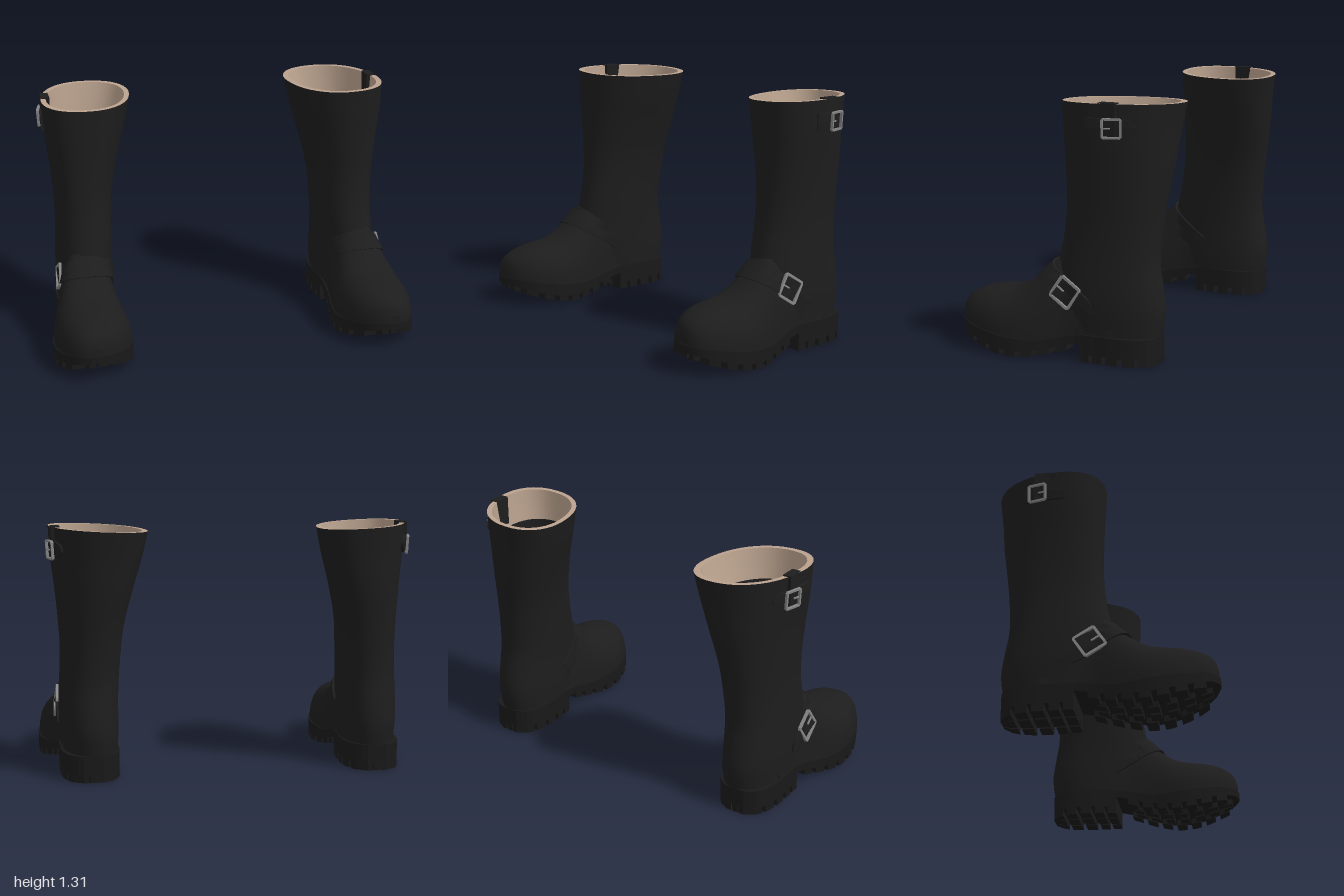
import * as THREE from 'three';
import { mergeGeometries } from 'three/addons/utils/BufferGeometryUtils.js';

const V = (x, y, z) => new THREE.Vector3(x, y, z);

// Smooth interpolation through rows of [key, ...values], keys ascending
function table(rows) {
  const slope = (i, k) => {
    const a = rows[Math.max(i - 1, 0)], b = rows[Math.min(i + 1, rows.length - 1)];
    return (b[k] - a[k]) / (b[0] - a[0]);
  };
  return (t) => {
    let i = 0;
    while (i < rows.length - 2 && t > rows[i + 1][0]) i++;
    const a = rows[i], b = rows[i + 1], h = b[0] - a[0];
    const u = THREE.MathUtils.clamp((t - a[0]) / h, 0, 1), u2 = u * u, u3 = u2 * u;
    return a.slice(1).map((_, n) => {
      const k = n + 1;
      return a[k] * (2 * u3 - 3 * u2 + 1) + b[k] * (3 * u2 - 2 * u3)
        + h * (slope(i, k) * (u3 - 2 * u2 + u) + slope(i + 1, k) * (u3 - u2));
    });
  };
}

// Skin closed rings of equal length; optional end caps and flat faces
function loft(rings, { caps = false, flat = false } = {}) {
  const n = rings[0].length, pts = rings.flat(), idx = [];
  for (let i = 0; i < rings.length - 1; i++) for (let j = 0; j < n; j++) {
    const a = i * n + j, b = i * n + (j + 1) % n;
    idx.push(a, b, a + n, b, b + n, a + n);
  }
  if (caps) [rings[0], rings[rings.length - 1]].forEach((ring, end) => {
    const s = pts.length, mid = ring.reduce((m, p) => m.add(p), V(0, 0, 0)).divideScalar(n);
    pts.push(...ring, mid);
    for (let j = 0; j < n; j++) {
      const k = (j + 1) % n;
      idx.push(s + n, s + (end ? j : k), s + (end ? k : j));
    }
  });
  let g = new THREE.BufferGeometry().setFromPoints(pts);
  g.setIndex(idx);
  if (flat) g = g.toNonIndexed();
  g.computeVertexNormals();
  return g;
}

// Shaft: y -> front z, back z, inner x, outer x
const shaft = table([
  [0.12, 0.03, -0.5, 0.612, 0.9], [0.2, 0.045, -0.515, 0.607, 0.905], [0.27, 0.055, -0.52, 0.605, 0.91],
  [0.38, 0.055, -0.505, 0.605, 0.91], [0.5, 0.035, -0.487, 0.6, 0.905], [0.65, 0.005, -0.493, 0.59, 0.9],
  [0.8, -0.01, -0.51, 0.575, 0.905], [1, -0.01, -0.54, 0.53, 0.92], [1.15, -0.005, -0.555, 0.49, 0.935],
  [1.3, 0, -0.575, 0.46, 0.942]]);
// Footprint: z -> centre x, half width
const print = table([
  [-0.505, 0.755, 0.05], [-0.485, 0.755, 0.09], [-0.45, 0.755, 0.122], [-0.35, 0.756, 0.15], [-0.2, 0.76, 0.15],
  [-0.1, 0.765, 0.147], [0, 0.775, 0.158], [0.1, 0.785, 0.183], [0.2, 0.788, 0.206], [0.3, 0.788, 0.212],
  [0.38, 0.79, 0.198], [0.45, 0.793, 0.17], [0.5, 0.8, 0.138], [0.54, 0.808, 0.095], [0.56, 0.815, 0.05],
  [0.57, 0.818, 0.02]]);
// Heights: z -> top of sole, tread underside
const sole = table([
  [-0.14, 0.14, 0.07], [-0.05, 0.125, 0.05], [0, 0.112, 0.035], [0.1, 0.096, 0.014], [0.2, 0.1, 0.004],
  [0.3, 0.11, 0.012], [0.4, 0.125, 0.035], [0.5, 0.143, 0.065], [0.57, 0.155, 0.088]]);
// Height of the foot along z
const ridge = table([
  [-0.3, 0.3], [-0.2, 0.42], [-0.1, 0.5], [0, 0.525], [0.05, 0.48], [0.1, 0.43], [0.15, 0.39], [0.2, 0.358],
  [0.25, 0.338], [0.3, 0.329], [0.38, 0.319], [0.45, 0.305], [0.5, 0.285], [0.53, 0.265], [0.55, 0.24], [0.562, 0.2]]);

const SHAFT_N = 2.25, FOOT_N = 2.4;
const signedPow = (v, e) => Math.sign(v) * Math.abs(v) ** e;
function shaftFrame(y) {
  const [zf, zb, x0, x1] = shaft(y);
  return { cz: (zf + zb) / 2, b: (zf - zb) / 2, cx: (x0 + x1) / 2, a: (x1 - x0) / 2,
    skew: 0.04 + 0.15 * THREE.MathUtils.smoothstep(y, 0.5, 1.3) };
}
function shaftRing(y, inset = 0, count = 44) {
  const f = shaftFrame(y);
  return Array.from({ length: count }, (_, j) => {
    const t = j / count * Math.PI * 2;
    const dz = -(f.b - inset) * signedPow(Math.sin(t), 2 / SHAFT_N);
    const x = f.cx + (f.a - inset) * signedPow(Math.cos(t), 2 / SHAFT_N) + f.skew * dz;
    return V(x, y + 0.04 * (x - 0.75) * THREE.MathUtils.smoothstep(y, 1.1, 1.3), f.cz + dz);
  });
}
const footFrame = (z) => {
  const [c, w] = print(z), base = sole(z)[0] - 0.01;
  return { c, w: w * (z < 0 ? 0.95 : 0.97), base, h: ridge(z)[0] - base };
};
function inside(x, y, z) {
  const f = shaftFrame(y), dz = z - f.cz;
  if (Math.abs((x - f.cx - f.skew * dz) / f.a) ** SHAFT_N + Math.abs(dz / f.b) ** SHAFT_N < 1) return true;
  if (z < -0.3 || z > 0.562) return false;
  const g = footFrame(z);
  return Math.abs((x - g.c) / g.w) ** FOOT_N + Math.abs((y - g.base) / g.h) ** FOOT_N < 1;
}
// Distance from an inner point to the boot surface
function reach(o, dir) {
  let lo = 0, hi = 0.5;
  for (let i = 0; i < 24; i++) {
    const m = (lo + hi) / 2;
    if (inside(o.x + dir.x * m, o.y + dir.y * m, o.z + dir.z * m)) lo = m; else hi = m;
  }
  return lo;
}

// Strap hugging the boot in the plane of d and x; p is its width direction.
// It narrows to a rounded tip after the fraction "tipped" of its length.
function band(o, d, p, half, from, to, tipped) {
  const rings = [], steps = 36;
  for (let i = 0; i <= steps; i++) {
    const u = i / steps, a = THREE.MathUtils.degToRad(from + (to - from) * u);
    const dir = d.clone().multiplyScalar(Math.cos(a)).add(V(Math.sin(a), 0, 0));
    const e = Math.max(0, u - tipped) / (1.001 - tipped);
    const w = half * Math.sqrt(Math.max(0.03, 1 - e * e));
    const edge = (s, lift) => {
      const q = o.clone().addScaledVector(p, s * w);
      return q.addScaledVector(dir, reach(q, dir) + lift);
    };
    rings.push([edge(1, 0.013), edge(0, 0.015), edge(-1, 0.013), edge(-1, -0.015), edge(1, -0.015)]);
  }
  return loft(rings, { caps: true, flat: true });
}

// Square frame with a prong, laid on the outer side at (y, z)
function buckle(y, z, d, p, size, bar, lift) {
  const at = (s, t) => {
    const q = V(0.75, y, z).addScaledVector(d, s).addScaledVector(p, t);
    q.x += reach(q, V(1, 0, 0));
    return q;
  };
  const h = size / 2, k = h - bar, e = 0.04, c = bar * 0.8;
  const points = (list) => list.map(([a, b]) => new THREE.Vector2(a, b));
  const frame = new THREE.Shape(points([[h - c, -h], [h, c - h], [h, h - c], [h - c, h],
    [c - h, h], [-h, h - c], [-h, c - h], [c - h, -h]]));
  frame.holes.push(new THREE.Path(points([[-k, -k], [-k, k], [k, k], [k, -k]])));
  const g = new THREE.ExtrudeGeometry(frame, { depth: 0.014, bevelEnabled: false });
  const prong = new THREE.BoxGeometry(h * 0.75, bar * 0.6, 0.008).toNonIndexed();
  prong.translate(k - h * 0.3, 0, 0.006);
  const X = at(e, 0).sub(at(-e, 0)).normalize(), T = at(0, e).sub(at(0, -e));
  const n = X.clone().cross(T).normalize();
  if (n.x < 0) n.negate();
  const m = new THREE.Matrix4().makeBasis(X, n.clone().cross(X), n);
  m.setPosition(at(0, 0).addScaledVector(n, lift));
  return mergeGeometries([g, prong]).applyMatrix4(m);
}

// Slab following the footprint between width fractions f0 and f1
const slab = (zs, f0, f1, top, bottom) => loft(zs.map((z) => {
  const [c, w] = print(z), l = c + f0 * w, r = c + f1 * w;
  return [V(r, bottom(z), z), V(r, top(z), z), V(l, top(z), z), V(l, bottom(z), z)];
}), { caps: true, flat: true });
const span = (a, b, n) => Array.from({ length: n + 1 }, (_, i) => a + (b - a) * (0.5 - 0.5 * Math.cos(Math.PI * i / n)));

function mirrored(geo) {
  const g = geo.clone().scale(-1, 1, 1);
  const ix = g.index ? Array.from(g.index.array) : Array.from({ length: g.attributes.position.count }, (_, i) => i);
  for (let i = 0; i < ix.length; i += 3) [ix[i], ix[i + 2]] = [ix[i + 2], ix[i]];
  g.setIndex(ix);
  g.computeVertexNormals();
  return g;
}

export function createModel() {
  const mat = (name, color) => Object.assign(new THREE.MeshStandardMaterial({ color }), { name });
  const leather = mat('black leather', 0x1d1d1d), rubber = mat('black rubber', 0x191919);
  const lining = mat('beige lining', 0xbaa28e), metal = mat('grey metal', 0x858585);
  const model = new THREE.Group(), left = new THREE.Group(), right = new THREE.Group();
  model.name = 'boots'; left.name = 'leftBoot'; right.name = 'rightBoot';
  model.add(left, right);
  const add = (name, geo, material) => [[left, geo], [right, mirrored(geo)]].forEach(([boot, g]) => {
    const m = new THREE.Mesh(g, material);
    m.name = name;
    boot.add(m);
  });

  // Upper
  const ys = Array.from({ length: 31 }, (_, i) => 0.12 + 1.18 * i / 30);
  add('shaft', loft(ys.map((y) => shaftRing(y))), leather);
  add('foot', loft(span(-0.3, 0.562, 44).map((z) => {
    const f = footFrame(z);
    return Array.from({ length: 36 }, (_, j) => {
      const t = j / 36 * Math.PI * 2, s = Math.sin(t);
      return V(f.c + f.w * signedPow(Math.cos(t), 2 / FOOT_N), f.base + (s > 0 ? f.h * s ** (2 / FOOT_N) : 0.02 * s), z);
    });
  }), { caps: true }), leather);

  // Lining: rim and upper band in beige, dark below
  add('rim', loft([shaftRing(1.3), shaftRing(1.3, 0.028)], { flat: true }), lining);
  add('lining', loft([1.3, 1.22, 1.13].map((y) => shaftRing(y, 0.028))), lining);
  add('innerShaft', loft([1.13, 0.9, 0.65, 0.4, 0.16].map((y) => shaftRing(y, 0.028))), leather);
  add('insole', loft([shaftRing(0.14, 0.02), shaftRing(0.16, 0.02)], { caps: true }), leather);

  // Straps and buckles
  const d = V(0, 0.548, 0.836), p = V(0, 0.836, -0.548), up = V(0, 1, 0), ahead = V(0, 0, 1);
  const ankle = V(0.765, 0.322, -0.1);
  add('ankleStrapOuter', band(ankle, d, p, 0.052, 0, 128, 0.82), leather);
  add('ankleStrapInner', band(ankle, d, p, 0.052, -112, 0, 1), leather);
  add('ankleBuckle', buckle(0.348, -0.055, d, p, 0.132, 0.013, 0.016), metal);
  add('topStrap', band(V(0.72, 1.195, -0.285), ahead, up, 0.044, 68, 130, 0.65), leather);
  add('topBuckle', buckle(1.193, -0.323, ahead, up, 0.1, 0.01, 0.015), metal);
  add('strapLoop', new THREE.BoxGeometry(0.045, 0.155, 0.09).translate(0.921, 1.235, -0.3), leather);

  // Sole and heel
  const soleTop = (z) => sole(z)[0], tread = (z) => sole(z)[1], treadRoot = (z) => sole(z)[1] + 0.03;
  add('sole', slab(span(-0.14, 0.57, 32), -1, 1, soleTop, treadRoot), rubber);
  add('heel', slab(span(-0.505, -0.13, 16), -1, 1, () => 0.14, () => 0.04), rubber);

  // Tread lugs
  const lugs = [];
  const lug = (z0, z1, f0, f1, top, bottom) => lugs.push(slab([z0, (z0 + z1) / 2, z1], f0, f1, top, bottom));
  const into = (z) => treadRoot(z) + 0.01;
  for (let z = -0.06; z < 0.5; z += 0.085) {
    lug(z, z + 0.055, 0.5, 1, into, tread);
    lug(z, z + 0.055, -1, -0.5, into, tread);
    lug(z + 0.03, z + 0.08, 0.06, 0.4, into, tread);
    lug(z + 0.03, z + 0.08, -0.4, -0.06, into, tread);
  }
  for (const [z0, z1] of [[-0.505, -0.44], [-0.42, -0.36], [-0.335, -0.275], [-0.25, -0.2], [-0.18, -0.13]]) {
    for (const [f0, f1] of [[-1, -0.45], [0.45, 1], [-0.33, 0.33]]) lug(z0, z1, f0, f1, () => 0.05, () => 0);
  }
  add('treadLugs', mergeGeometries(lugs), rubber);
  return model;
}
